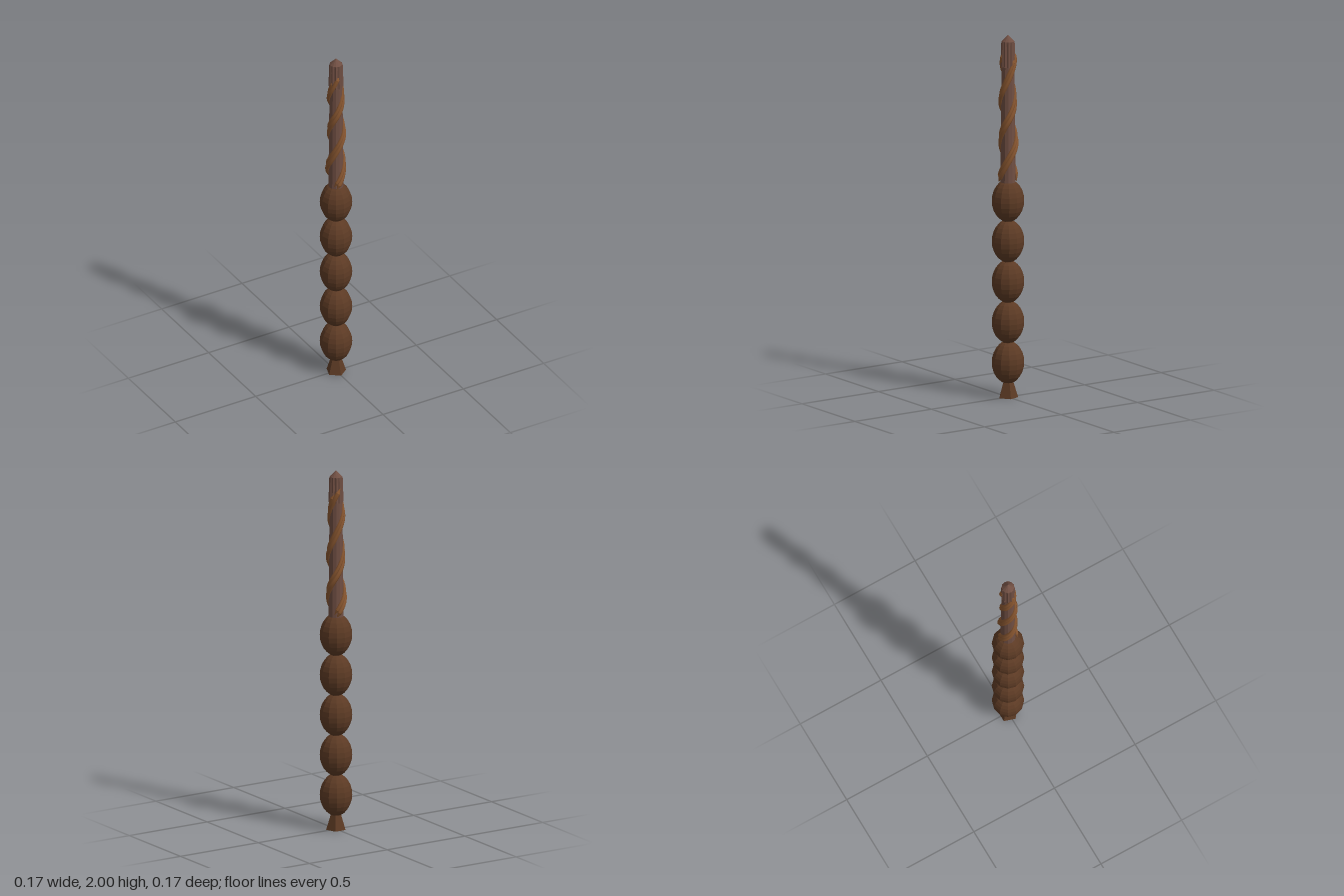
import * as THREE from 'three';

const darkWood = new THREE.MeshStandardMaterial({ color: 0x5c3a24 });
darkWood.name = 'darkWood';
const shaftWood = new THREE.MeshStandardMaterial({ color: 0x6f4e42 });
shaftWood.name = 'shaftWood';
const vineWood = new THREE.MeshStandardMaterial({ color: 0x87552f });
vineWood.name = 'vineWood';

// Splits the faces so every facet keeps its own flat normal
function faceted(geometry) {
  const g = geometry.index ? geometry.toNonIndexed() : geometry;
  g.computeVertexNormals();
  return g;
}

function addPart(group, name, geometry, material, y = 0) {
  const mesh = new THREE.Mesh(geometry, material);
  mesh.name = name;
  mesh.position.y = y;
  group.add(mesh);
}

// Helix that winds round the shaft, wide at the bottom and hugging it at the top
class VineCurve extends THREE.Curve {
  constructor(phase, start, end, swell) {
    super();
    Object.assign(this, { phase, start, end, swell });
  }
  getPoint(t, target = new THREE.Vector3()) {
    const y = this.start + (this.end - this.start) * t;
    const angle = this.phase + ((y - 1.45) / 0.45) * Math.PI * 2;
    const r = 0.045 - 0.012 * t + this.swell * Math.sin(t * 17 + this.phase);
    return target.set(r * Math.sin(angle), y, r * Math.cos(angle));
  }
}

export function createModel() {
  const group = new THREE.Group();
  group.name = 'carvedWand';

  // Five-sided flared foot
  addPart(group, 'foot', faceted(new THREE.CylinderGeometry(0.024, 0.055, 0.1, 5)), darkWood, 0.05);

  // Handle beads: ellipsoids with flat ends
  const profile = [new THREE.Vector2(0, -0.11)];
  for (let i = 0; i <= 12; i++) {
    const y = -0.11 * Math.cos((i / 12) * Math.PI);
    profile.push(new THREE.Vector2(0.0875 * Math.sqrt(1 - (y / 0.117) ** 2), y));
  }
  profile.push(new THREE.Vector2(0, 0.11));
  const bead = faceted(new THREE.LatheGeometry(profile, 12));
  for (let i = 0; i < 5; i++) addPart(group, 'handleBead', bead, darkWood, 0.193 + i * 0.223);
  addPart(group, 'handleCore', faceted(new THREE.CylinderGeometry(0.028, 0.028, 0.95, 12)), darkWood, 0.64);

  // Tapering shaft
  addPart(group, 'shaft', faceted(new THREE.CylinderGeometry(0.033, 0.041, 0.78, 12)), shaftWood, 1.575);

  // Fluted top: every other corner is pulled in
  const flutes = new THREE.CylinderGeometry(0.036, 0.041, 0.14, 24, 1, false);
  const p = flutes.attributes.position;
  for (let i = 0; i < p.count; i++) {
    const step = Math.round((Math.atan2(p.getX(i), p.getZ(i)) / Math.PI) * 12);
    if (step % 2 !== 0) p.setXYZ(i, p.getX(i) * 0.86, p.getY(i), p.getZ(i) * 0.86);
  }
  addPart(group, 'flutedTop', faceted(flutes), shaftWood, 1.895);
  addPart(group, 'tip', faceted(new THREE.ConeGeometry(0.034, 0.035, 12)), shaftWood, 1.9825);

  // Two opposite vines, each made of a thick and a thin strand
  for (const phase of [0, Math.PI]) {
    const strands = [
      [phase, 1.215, 1.88, 0.003, 0.013],
      [phase - 0.5, 1.23, 1.85, 0.002, 0.01],
    ];
    for (const [angle, start, end, swell, radius] of strands) {
      const curve = new VineCurve(angle, start, end, swell);
      addPart(group, 'vine', new THREE.TubeGeometry(curve, 72, radius, 7), vineWood);
      // Pointed ends close the strand
      for (const [t, sign] of [[0, -1], [1, 1]]) {
        const cap = new THREE.ConeGeometry(radius, 0.03, 7);
        cap.translate(0, 0.015, 0);
        const mesh = new THREE.Mesh(cap, vineWood);
        mesh.name = 'vineEnd';
        mesh.position.copy(curve.getPointAt(t));
        mesh.quaternion.setFromUnitVectors(new THREE.Vector3(0, 1, 0), curve.getTangentAt(t).multiplyScalar(sign));
        group.add(mesh);
      }
    }
  }
  return group;
}
